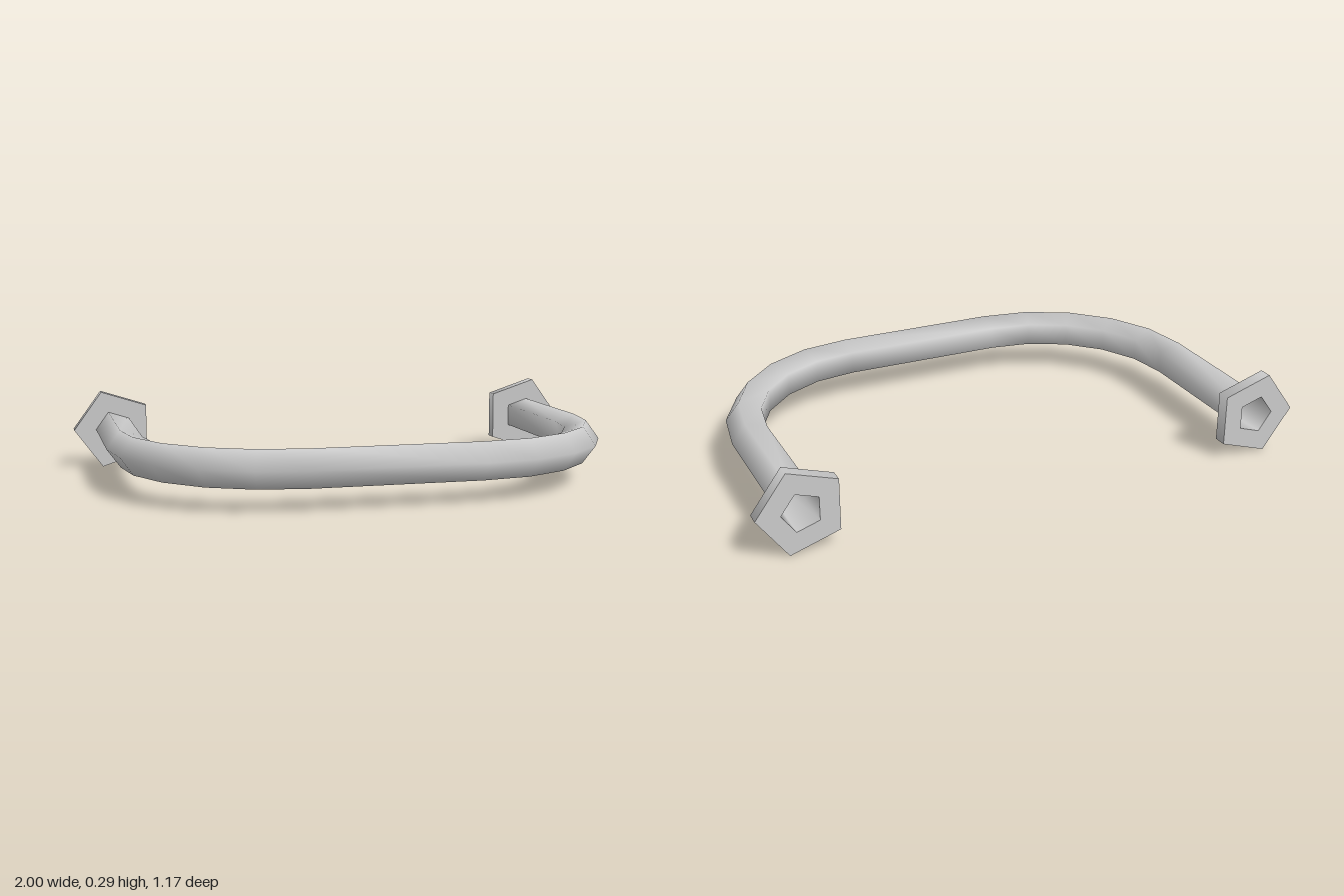
import * as THREE from 'three';
import { mergeGeometries } from 'three/addons/utils/BufferGeometryUtils.js';

const SIDES = 5;
const TUBE_R = 0.0705, PLATE_R = 0.154;
const LEG_X = 0.846, BACK_Z = -0.584, MID_Y = 0.147;
const BEND_R = 0.546, BEND_X = 0.3, BEND_Z = -0.034, BEND_STEPS = 5;
const PLATE_DEPTH = 0.048;

// U-shaped bar: pentagon rings swept along leg, bend, front, bend, leg
function barGeometry() {
  const stations = [[LEG_X, BACK_Z, 0]];
  for (const side of [0, 1]) {
    for (let i = 0; i <= BEND_STEPS; i++) {
      const angle = (side + i / BEND_STEPS) * Math.PI / 2;
      const cx = side ? -BEND_X : BEND_X;
      stations.push([cx + BEND_R * Math.cos(angle), BEND_Z + BEND_R * Math.sin(angle), angle]);
    }
  }
  stations.push([-LEG_X, BACK_Z, Math.PI]);

  const positions = [], index = [];
  stations.forEach(([x, z, angle], i) => {
    for (let j = 0; j < SIDES; j++) {
      const a = j / SIDES * Math.PI * 2;
      const out = TUBE_R * Math.cos(a);
      positions.push(x + out * Math.cos(angle), MID_Y + TUBE_R * Math.sin(a), z + out * Math.sin(angle));
      if (i === 0) continue;
      const k = (j + 1) % SIDES, p = (i - 1) * SIDES, q = i * SIDES;
      index.push(p + j, p + k, q + k, p + j, q + k, q + j);
    }
  });
  const geometry = new THREE.BufferGeometry();
  geometry.setAttribute('position', new THREE.Float32BufferAttribute(positions, 3));
  geometry.setIndex(index);
  geometry.computeVertexNormals();
  return geometry;
}

// Pentagonal mounting plate with a hole for the bar, one corner towards +x
function plateGeometry() {
  const rim = new THREE.CylinderGeometry(PLATE_R, PLATE_R, PLATE_DEPTH, SIDES, 1, true);
  rim.rotateX(-Math.PI / 2).rotateZ(-Math.PI / 2);
  const front = new THREE.RingGeometry(TUBE_R, PLATE_R, SIDES);
  front.translate(0, 0, PLATE_DEPTH / 2);
  // A half turn about x keeps the corner towards +x
  const back = front.clone().rotateX(Math.PI);
  return mergeGeometries([rim, front, back]);
}

export function createModel() {
  const group = new THREE.Group();
  group.name = 'pullHandle';
  const material = new THREE.MeshStandardMaterial({ color: 0xcccccc, side: THREE.DoubleSide });

  const bar = new THREE.Mesh(barGeometry(), material);
  bar.name = 'bar';
  group.add(bar);

  const plate = plateGeometry();
  for (const [name, side] of [['leftPlate', 1], ['rightPlate', -1]]) {
    const mesh = new THREE.Mesh(plate, material);
    mesh.name = name;
    mesh.position.set(side * LEG_X, MID_Y, BACK_Z + PLATE_DEPTH / 2);
    if (side < 0) mesh.rotation.y = Math.PI;
    group.add(mesh);
  }
  return group;
}
